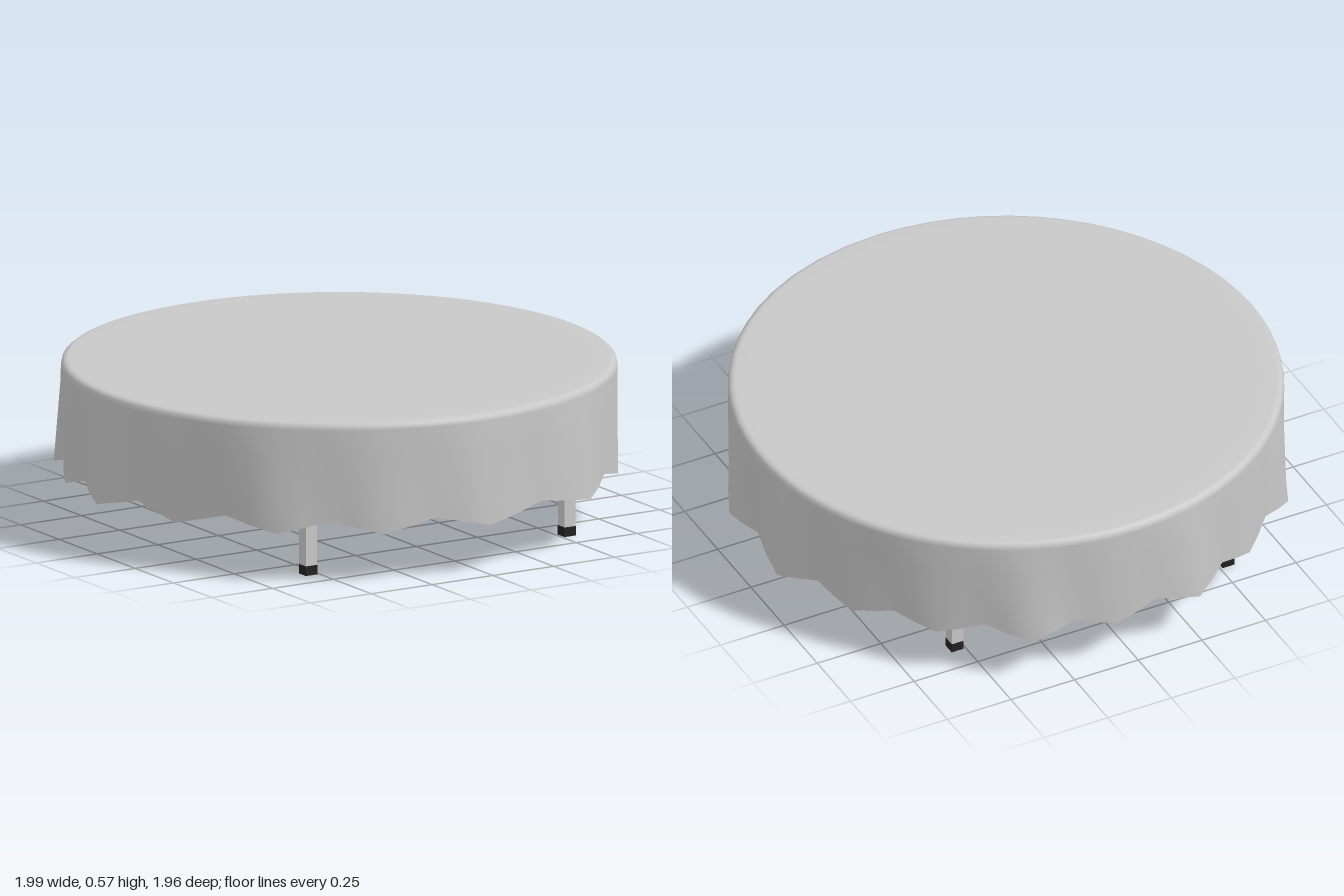
import * as THREE from 'three';

const clothMat = new THREE.MeshStandardMaterial({ color: 0xc8c8c8, side: THREE.DoubleSide });
clothMat.name = 'grey cloth';
const legMat = new THREE.MeshStandardMaterial({ color: 0xcccccc });
legMat.name = 'light grey metal';
const rubberMat = new THREE.MeshStandardMaterial({ color: 0x222222 });
rubberMat.name = 'black rubber';

// Pleats of the hanging hem: [angle in degrees from the front, radius at the hem]
const PLEATS = [
  [0, 0.99], [30, 0.99], [53, 0.975], [77, 0.995], [100, 1.005], [119, 0.98],
  [138, 0.975], [158, 1.01], [176, 0.975], [195, 1.0], [213, 0.975], [232, 1.0],
  [251, 0.98], [270, 1.0], [292, 0.98], [315, 0.995], [337, 0.985],
];
const CX = 0.005, CZ = -0.013;

// Columns around the cloth: outward folds hang low, inward folds sit higher
function clothColumns() {
  const folds = [];
  PLEATS.forEach(([a, r], i) => {
    const next = i + 1 < PLEATS.length ? PLEATS[i + 1][0] : 360;
    folds.push([a, r, 0.175], [(a + next) / 2, 0.962, 0.219]);
  });
  const columns = [];
  folds.forEach((f, i) => {
    const g = i + 1 < folds.length ? folds[i + 1] : [360, folds[0][1], folds[0][2]];
    columns.push(f, f.map((v, k) => (v + g[k]) / 2));
  });
  return columns;
}

// One continuous sheet: flat top, rounded rim, pleated skirt
function clothGeometry() {
  const columns = clothColumns();
  const n = columns.length;
  const rim = [[0.88, 0.572], [0.945, 0.572], [0.958, 0.568], [0.967, 0.56], [0.97, 0.545]];
  const drops = [0.33, 0.67, 1];
  const rings = rim.length + drops.length;
  const pos = [CX, 0.572, CZ];
  for (let j = 0; j < rings; j++) {
    for (const [deg, hemR, hemY] of columns) {
      let [r, y] = rim[Math.min(j, rim.length - 1)];
      if (j >= rim.length) {
        const t = drops[j - rim.length];
        r += (hemR - r) * t;
        y += (hemY - y) * t;
      }
      const a = THREE.MathUtils.degToRad(deg);
      pos.push(CX + Math.sin(a) * r, y, CZ + Math.cos(a) * r);
    }
  }
  const index = [];
  const id = (j, i) => 1 + j * n + (i % n);
  for (let i = 0; i < n; i++) {
    index.push(0, id(0, i), id(0, i + 1));
    for (let j = 0; j < rings - 1; j++) {
      index.push(id(j, i), id(j + 1, i), id(j + 1, i + 1));
      index.push(id(j, i), id(j + 1, i + 1), id(j, i + 1));
    }
  }
  const geo = new THREE.BufferGeometry();
  geo.setAttribute('position', new THREE.Float32BufferAttribute(pos, 3));
  geo.setIndex(index);
  geo.computeVertexNormals();
  return geo;
}

// Square bar between two heights
function bar(name, size, y0, y1, material) {
  const mesh = new THREE.Mesh(new THREE.BoxGeometry(size, y1 - y0, size), material);
  mesh.position.y = (y0 + y1) / 2;
  mesh.name = name;
  return mesh;
}

export function createModel() {
  const model = new THREE.Group();
  model.name = 'coveredTable';

  const cloth = new THREE.Mesh(clothGeometry(), clothMat);
  cloth.name = 'tablecloth';
  model.add(cloth);

  // Four legs with black feet and top sockets
  for (const sx of [-1, 1]) {
    for (const sz of [-1, 1]) {
      const leg = new THREE.Group();
      leg.name = (sz > 0 ? 'front' : 'back') + (sx > 0 ? 'Left' : 'Right') + 'Leg';
      leg.add(
        bar('foot', 0.047, 0, 0.034, rubberMat),
        bar('post', 0.045, 0.034, 0.375, legMat),
        bar('socket', 0.047, 0.375, 0.435, rubberMat),
      );
      leg.position.set(sx * 0.532, 0, sz * 0.637);
      model.add(leg);
    }
  }
  return model;
}
